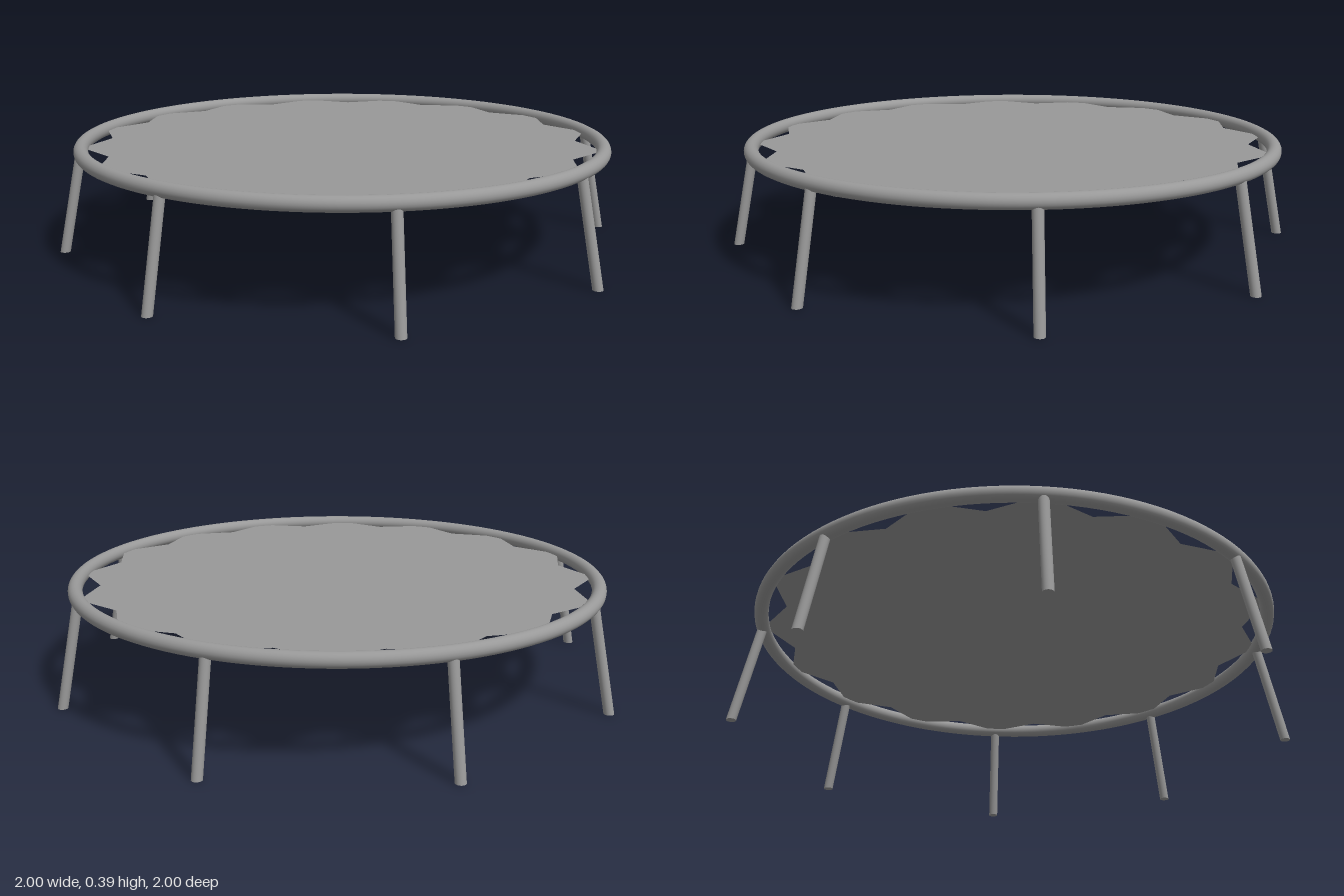
import * as THREE from 'three';

const RING_RADIUS = 0.908, RING_HEIGHT = 0.367, TUBE = 0.0245;
const LEGS = 8, POINTS = 16, LEG_RADIUS = 0.0175, FOOT_RADIUS = 0.982;

export function createModel() {
  const model = new THREE.Group();
  model.name = 'trampoline';
  const material = new THREE.MeshStandardMaterial({ color: 0x999999 });
  const matMaterial = new THREE.MeshStandardMaterial({ color: 0x999999, side: THREE.DoubleSide });

  // Round tubular frame
  const ring = new THREE.Mesh(new THREE.TorusGeometry(RING_RADIUS, TUBE, 20, 128), material);
  ring.name = 'frameRing';
  ring.rotation.x = -Math.PI / 2;
  ring.position.y = RING_HEIGHT;
  model.add(ring);

  // Jumping mat: a thin sheet with points reaching the frame
  const outline = [];
  for (let i = 0; i < POINTS * 2; i++) {
    const angle = (i / (POINTS * 2)) * Math.PI * 2;
    const radius = i % 2 ? 0.825 : 0.905;
    outline.push(new THREE.Vector2(Math.cos(angle) * radius, Math.sin(angle) * radius));
  }
  const mat = new THREE.Mesh(new THREE.ShapeGeometry(new THREE.Shape(outline)), matMaterial);
  mat.name = 'jumpingMat';
  mat.rotation.x = -Math.PI / 2;
  mat.position.y = RING_HEIGHT;
  model.add(mat);

  // Splayed legs, sheared outward so the feet stay flat on the floor
  const legGeometry = new THREE.CylinderGeometry(LEG_RADIUS, LEG_RADIUS, RING_HEIGHT, 20);
  legGeometry.translate(0, RING_HEIGHT / 2, 0);
  const slope = (RING_RADIUS - FOOT_RADIUS) / RING_HEIGHT;
  legGeometry.applyMatrix4(new THREE.Matrix4().set(
    1, slope, 0, FOOT_RADIUS,
    0, 1, 0, 0,
    0, 0, 1, 0,
    0, 0, 0, 1
  ));
  for (let i = 0; i < LEGS; i++) {
    const leg = new THREE.Mesh(legGeometry, material);
    leg.name = `leg${i + 1}`;
    leg.rotation.y = (i / LEGS) * Math.PI * 2;
    model.add(leg);
  }
  return model;
}
